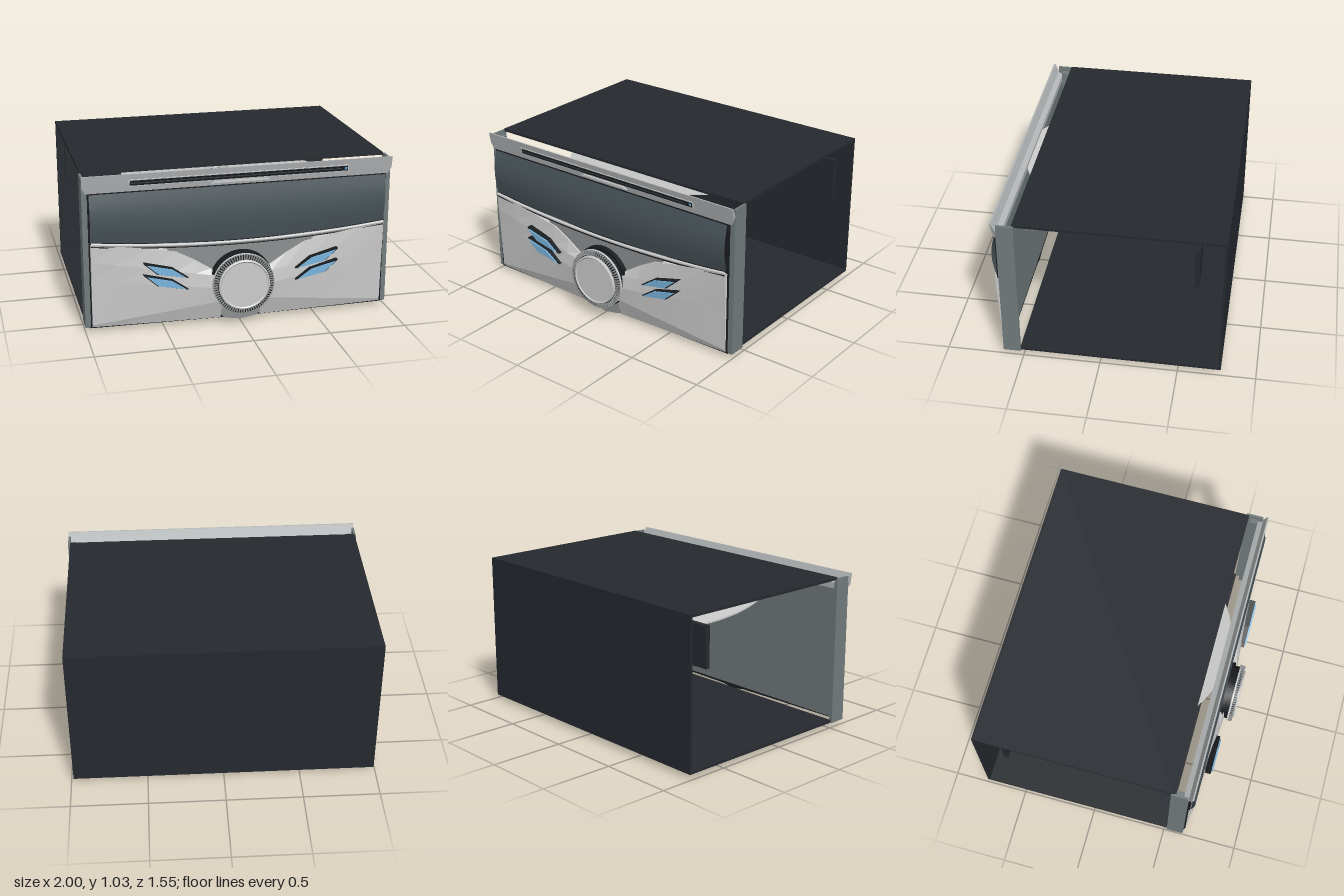
import * as THREE from 'three';

const GREY = 0xcccccc, BLACK = 0x25292e, FRAME = 0x727b7d, DARK = 0x191c1f, MID = 0x8c8f90;

export function createModel() {
  const root = new THREE.Group();
  const mat = (color, extra = {}) => new THREE.MeshStandardMaterial({ color, ...extra });
  const add = (name, geo, color, extra) => {
    const m = new THREE.Mesh(geo, mat(color, extra));
    m.name = name;
    root.add(m);
    return m;
  };
  // box given by its limits
  const box = (name, x0, x1, y0, y1, z0, z1, color) => {
    const m = add(name, new THREE.BoxGeometry(x1 - x0, y1 - y0, z1 - z0), color);
    m.position.set((x0 + x1) / 2, (y0 + y1) / 2, (z0 + z1) / 2);
    return m;
  };
  // outline in x, y drawn out from z0 to z1
  const slab = (name, pts, z0, z1, color) => {
    const shape = new THREE.Shape(pts.map(([x, y]) => new THREE.Vector2(x, y)));
    const g = new THREE.ExtrudeGeometry(shape, { depth: z1 - z0, bevelEnabled: false });
    return add(name, g.translate(0, 0, z0), color);
  };
  // surface from a rule, facing +z
  const grid = (fn, nu, nv) => {
    const pos = [], idx = [];
    for (let j = 0; j <= nv; j++) for (let i = 0; i <= nu; i++) pos.push(...fn(i, j));
    for (let j = 0; j < nv; j++) for (let i = 0; i < nu; i++) {
      const a = j * (nu + 1) + i, b = a + 1, c = b + nu + 1, d = a + nu + 1;
      idx.push(a, b, c, a, c, d);
    }
    const g = new THREE.BufferGeometry();
    g.setAttribute('position', new THREE.Float32BufferAttribute(pos, 3));
    g.setIndex(idx);
    g.computeVertexNormals();
    return g;
  };
  const lerp = THREE.MathUtils.lerp;

  // casing, open at both sides
  box('topPanel', -0.99, 0.985, 1.01, 1.027, -0.775, 0.535, BLACK);
  box('bottomPanel', -0.99, 0.985, 0.032, 0.048, -0.775, 0.525, BLACK);
  box('backPanel', -0.99, 0.985, 0.032, 1.027, -0.775, -0.76, BLACK);
  for (const s of [-1, 1]) {
    box('innerBracket', s * 0.84 - 0.11, s * 0.84 + 0.11, 0.65, 0.92, -0.61, -0.58, BLACK);
  }
  box('innerTab', 0.67, 0.77, 0.837, 0.855, 0.43, 0.515, FRAME);

  // tilted disc sliding through the slot
  const ring = new THREE.Shape().absarc(0, 0, 0.645, 0, Math.PI * 2, false);
  ring.holes.push(new THREE.Path().absarc(0, 0, 0.08, 0, Math.PI * 2, true));
  const discGeo = new THREE.ExtrudeGeometry(ring, { depth: 0.01, bevelEnabled: false, curveSegments: 48 });
  const disc = add('disc', discGeo, GREY);
  disc.rotation.x = -Math.PI / 2 - 0.176;
  disc.position.set(0, 0.829, 0.01);

  // front frame and its backing sheet
  for (const s of [-1, 1]) {
    box('sideColumn', s * 0.9925 - 0.0075, s * 0.9925 + 0.0075, 0.032, 1.02, 0.52, 0.63, FRAME);
    box('columnRib', s * 0.97 - 0.018, s * 0.97 + 0.018, 0.032, 0.99, 0.55, 0.6, FRAME);
    box('columnFront', s * 0.98 - 0.02, s * 0.98 + 0.02, 0.032, 0.93, 0.615, 0.632, FRAME);
    box('columnSeam', s * 0.961 - 0.004, s * 0.961 + 0.004, 0.035, 0.92, 0.615, 0.642, DARK);
  }
  box('backingSheet', -0.97, 0.97, 0.035, 0.95, 0.605, 0.628, FRAME);
  slab('bottomEdge', [[-0.97, 0.04], [-0.97, 0.03], [-0.1, 0.02], [0, 0.002], [0.1, 0.02], [0.97, 0.03], [0.97, 0.04]],
    0.605, 0.636, DARK);

  // top trim: profile in z, y swept along x, narrower at its foot
  const prof = [[0.6, 0.925], [0.645, 0.92], [0.653, 0.96], [0.667, 1.035], [0.657, 1.035], [0.633, 0.98], [0.6, 0.965]];
  const trim = new THREE.ExtrudeGeometry(new THREE.Shape(prof.map(([z, y]) => new THREE.Vector2(-z, y))),
    { depth: 2, bevelEnabled: false });
  trim.translate(0, 0, -1).rotateY(Math.PI / 2);
  const tp = trim.attributes.position;
  for (let i = 0; i < tp.count; i++) tp.setX(i, tp.getX(i) * (tp.getY(i) < 0.95 ? 0.978 : 1));
  trim.computeVertexNormals();
  add('topTrim', trim, 0xb4b7b8, { flatShading: true });

  // disc slot and eject button
  const slot = new THREE.Group();
  slot.name = 'discSlot';
  slot.position.set(0, 0.977, 0.656);
  slot.rotation.x = 0.18;
  root.add(slot);
  slot.add(box('slotRim', -0.71, 0.71, -0.022, 0.022, -0.006, 0.004, GREY));
  slot.add(box('slotOpening', -0.702, 0.702, -0.016, 0.016, -0.004, 0.006, DARK));
  slot.add(box('slotBar', -0.7, 0.66, -0.004, 0.004, 0, 0.008, 0x3a3f44));
  slot.add(box('slotLamp', 0.68, 0.696, -0.008, 0.008, 0, 0.008, 0x6fb0dd));
  slab('ejectButton', [[-0.19, 0.938], [0.19, 0.938], [0.16, 0.95], [-0.16, 0.95]], 0.645, 0.66, GREY);

  // display, bulging forward, with a curved lower edge
  const lower = x => 0.555 + 0.055 * Math.pow(Math.abs(x) / 0.96, 2);
  slab('displayBack', [[-0.96, 0.92], [-0.96, 0.59], [0, 0.54], [0.96, 0.59], [0.96, 0.92]], 0.62, 0.65, DARK);
  add('display', grid((i, j) => {
    const x = lerp(-0.957, 0.957, i / 24), t = j / 10;
    return [x, lerp(lower(x), 0.915, t), 0.653 + 0.024 * Math.sin(Math.PI * t)];
  }, 24, 10), 0x4a555b, { side: THREE.DoubleSide });

  // bright strip and dark seam below the display
  for (const [name, drop, r, color] of [['displayStrip', 0.012, 0.01, GREY], ['stripSeam', 0.026, 0.006, DARK]]) {
    const path = [];
    for (let i = 0; i <= 12; i++) {
      const x = lerp(-0.955, 0.955, i / 12);
      path.push(new THREE.Vector3(x, lower(x) - drop, 0.662));
    }
    add(name, new THREE.TubeGeometry(new THREE.CatmullRomCurve3(path), 36, r, 8), color);
  }

  // darker middle piece around the knob
  slab('centrePiece', [[-0.5, 0.56], [-0.45, 0.49], [-0.22, 0.3], [-0.2, 0.15], [-0.11, 0.03], [0, 0.01],
    [0.11, 0.03], [0.2, 0.15], [0.22, 0.3], [0.45, 0.49], [0.5, 0.56], [0, 0.535]], 0.62, 0.664, MID);

  // faceted wings; border rows and columns fold back to the sheet
  const cols = [[0.13, 0.34], [0.2, 0.38], [0.3, 0.445], [0.42, 0.51], [0.6, 0.545], [0.8, 0.575], [0.956, 0.595]];
  // rows: inner y, outer y, inner z, outer z (top row takes y from cols)
  const rows = [[0.032, 0.036, 0.66, 0.637], [0.16, 0.05, 0.7, 0.643], [0.25, 0.36, 0.712, 0.655],
    [0.33, 0.48, 0.702, 0.662], [0, 0, 0.675, 0.666]];
  const clamp = THREE.MathUtils.clamp;
  for (const s of [-1, 1]) {
    const n = cols.length + 1, m = rows.length + 1;
    const g = grid((i, j) => {
      const ci = clamp(i - 1, 0, cols.length - 1), rj = clamp(j - 1, 0, rows.length - 1);
      const [X, top] = cols[s > 0 ? ci : cols.length - 1 - ci];
      const [yi, yo, zi, zo] = rows[rj], t = (X - 0.13) / 0.826;
      const border = i === 0 || j === 0 || i === n || j === m;
      return [s * X, rj === rows.length - 1 ? top : Math.min(lerp(yi, yo, t), top - 0.005),
        border ? 0.625 : lerp(zi, zo, t)];
    }, n, m);
    add('wing', g, GREY, { flatShading: true, side: THREE.DoubleSide });

    // slanted blue keys in dark surrounds
    for (const y of [0, -0.078]) {
      const key = [[0.635, 0.46], [0.45, 0.415], [0.35, 0.345], [0.55, 0.385]];
      const scaled = k => key.map(([x, v]) => [s * (0.495 + (x - 0.495) * k), y + 0.402 + (v - 0.402) * k]);
      slab('keySurround', scaled(1), 0.66, 0.718, DARK);
      slab('blueKey', scaled(0.86), 0.66, 0.728, 0x78b4dc);
    }
  }

  // rotary knob
  const knob = new THREE.Group();
  knob.name = 'knob';
  knob.position.set(0, 0.285, 0);
  root.add(knob);
  const turn = (name, pts, color) => {
    const g = new THREE.LatheGeometry(pts.map(([r, z]) => new THREE.Vector2(r, z)), 64).rotateX(Math.PI / 2);
    const mesh = add(name, g.toNonIndexed(), color, { side: THREE.DoubleSide });
    mesh.geometry.computeVertexNormals();
    knob.add(mesh);
  };
  turn('knobBase', [[0.205, 0.64], [0.205, 0.695], [0.185, 0.695], [0.185, 0.735]], DARK);
  turn('knobBody', [[0.17, 0.735], [0.193, 0.735], [0.193, 0.757], [0.165, 0.757]], DARK);
  turn('knobRim', [[0.184, 0.728], [0.2, 0.728], [0.2, 0.74], [0.19, 0.74]], GREY);
  turn('knobCap', [[0.166, 0.74], [0.166, 0.77], [0.158, 0.775], [0.15, 0.769], [0, 0.769]], GREY);
  for (let i = 0; i < 72; i++) {
    const a = i / 72 * Math.PI * 2;
    const rib = box('knobRib', -0.014, 0.014, -0.004, 0.004, -0.014, 0.014, MID);
    rib.position.set(0.184 * Math.cos(a), 0.184 * Math.sin(a), 0.75);
    rib.rotation.z = a;
    knob.add(rib);
  }
  return root;
}
